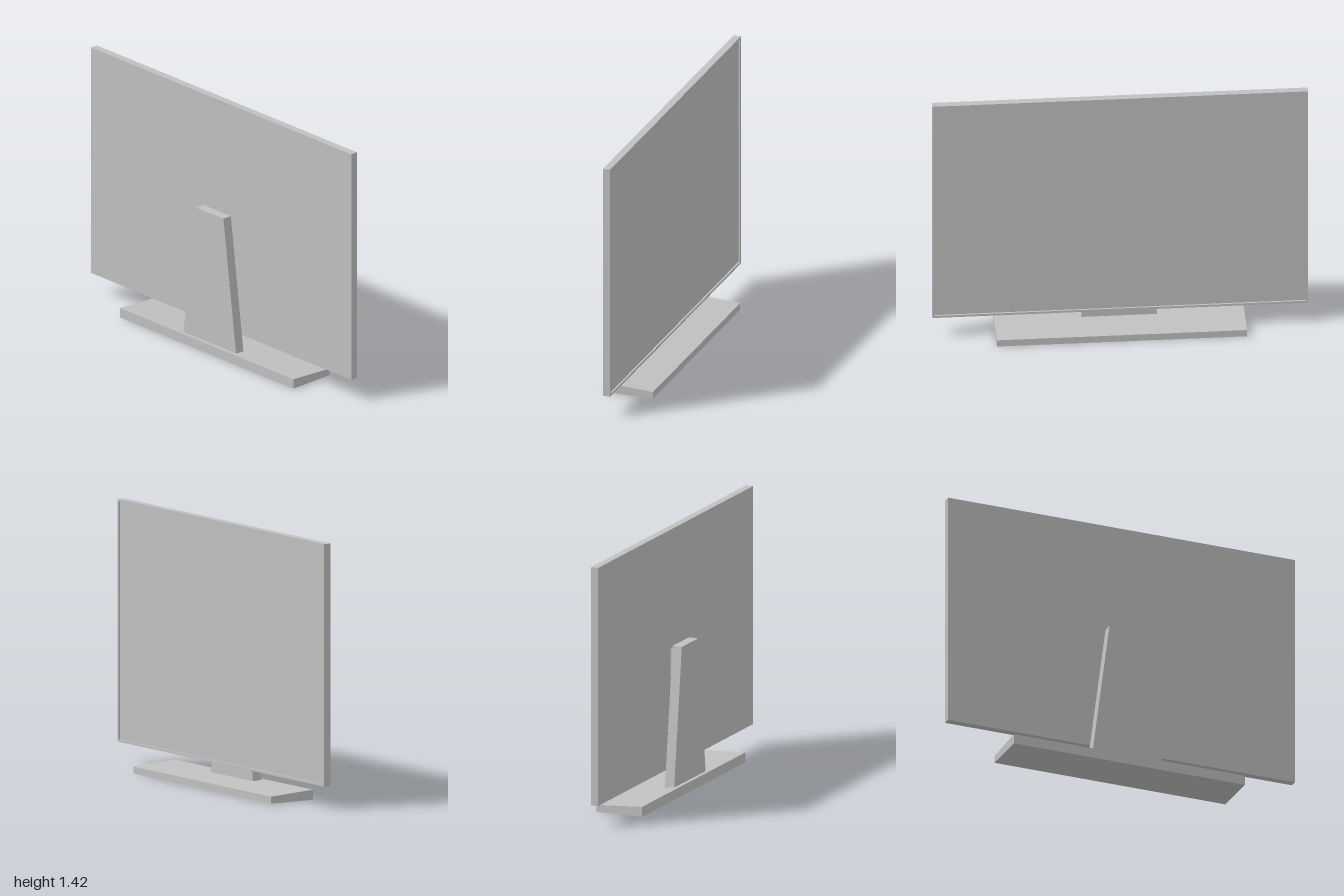
import * as THREE from 'three';

const grey = new THREE.MeshStandardMaterial({ color: 0xc0c0c0 });
grey.name = 'plain grey';

// Closed outline through a few points
const outline = (pts) => new THREE.Shape(pts.map(([a, b]) => new THREE.Vector2(a, b)));

const extrude = (shape, depth) =>
  new THREE.ExtrudeGeometry(shape, { depth, bevelEnabled: false });

// Outline drawn in the z-y plane, extruded from x0 to x1
const extrudeX = (shape, x0, x1) =>
  extrude(shape, x1 - x0).rotateY(Math.PI / 2).translate(x0, 0, 0);

// Box given by its extents in x and y, symmetric in z
const slab = (x0, x1, y0, y1, halfZ) =>
  new THREE.BoxGeometry(x1 - x0, y1 - y0, halfZ * 2).translate((x0 + x1) / 2, (y0 + y1) / 2, 0);

const rectangle = (halfZ, y0, y1) => [[-halfZ, y0], [halfZ, y0], [halfZ, y1], [-halfZ, y1]];

export function createModel() {
  const model = new THREE.Group();
  model.name = 'television';
  const add = (name, geometry) => {
    const mesh = new THREE.Mesh(geometry, grey);
    mesh.name = name;
    model.add(mesh);
  };

  const bottom = 0.122, top = 1.423, bezel = 0.012;

  // Flat display body whose face is the recessed screen
  add('screenPanel', slab(-0.026, 0.005, bottom, top, 1));

  // Thin raised rim around the screen
  const rim = outline(rectangle(1, bottom, top));
  rim.holes.push(outline(rectangle(1 - bezel, bottom + bezel, top - bezel).reverse()));
  add('bezel', extrudeX(rim, 0.005, 0.015));

  // Wall between the display and the upright
  add('mountBlock', slab(-0.056, -0.026, 0.628, 0.77, 0.067));

  // Upright tapering towards the top
  add('standPost', extrudeX(
    outline([[-0.203, 0.045], [0.203, 0.045], [0.105, 0.8], [-0.105, 0.8]]), -0.11, -0.056));

  // Wedge foot, lower at the screen side
  add('base', extrude(
    outline([[-0.133, 0], [0.133, 0], [0.133, 0.038], [-0.133, 0.054]]), 1.332).translate(0, 0, -0.666));

  return model;
}
